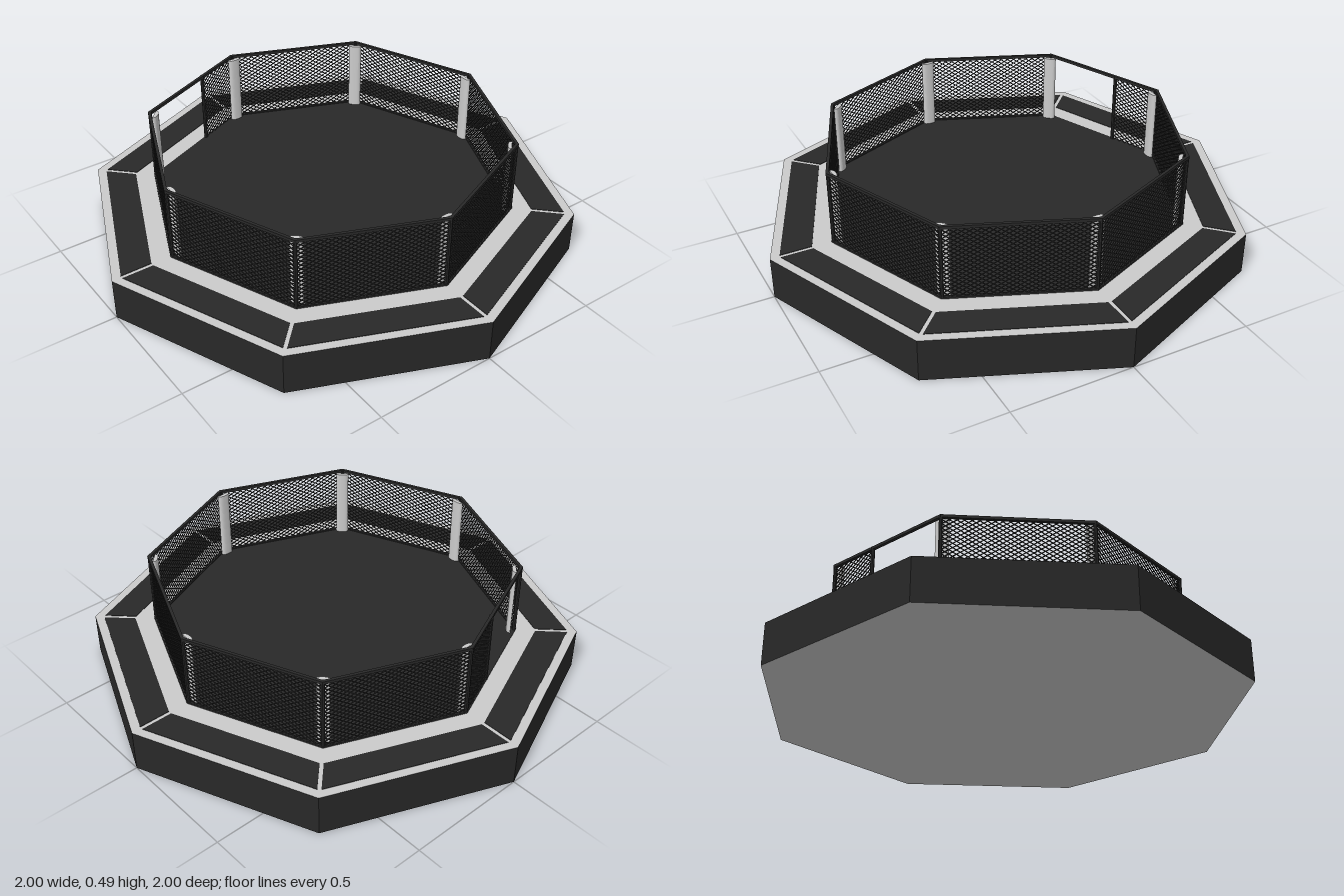
import * as THREE from 'three';
import { mergeGeometries } from 'three/addons/utils/BufferGeometryUtils.js';

const dark = new THREE.MeshStandardMaterial({ color: 0x282828, flatShading: true });
const grey = new THREE.MeshStandardMaterial({ color: 0xcccccc, flatShading: true });
const padGrey = new THREE.MeshStandardMaterial({ color: 0xcccccc });

const DECK = 0.175, TOP = 0.487, FENCE_R = 0.75;
const C = Math.cos(Math.PI / 8), S = Math.sin(Math.PI / 8);
const APOTHEM = (FENCE_R - 0.006) * C;
const HALF = (FENCE_R - 0.006) * S;
const GATE_SIDE = 6, GATE_X = -0.07;

function add(parent, name, geometry, material, x = 0, y = 0, z = 0) {
  const mesh = new THREE.Mesh(geometry, material);
  mesh.name = name;
  mesh.position.set(x, y, z);
  parent.add(mesh);
  return mesh;
}

// Crossed diagonal wires clipped to the rectangle x0..x1, y0..y1
function chainLink(x0, x1, y0, y1) {
  const cellW = 0.028, cellH = 0.018, slope = cellH / cellW, wire = 0.0032;
  const wires = [];
  const width = x1 - x0;
  for (const dir of [1, -1]) {
    for (let c = y0 - slope * width + cellH / 2; c < y1; c += cellH) {
      // t runs along the panel, y = c + slope * t
      const t0 = Math.max(0, (y0 - c) / slope);
      const t1 = Math.min(width, (y1 - c) / slope);
      if (t1 - t0 < 0.004) continue;
      const length = (t1 - t0) * Math.hypot(1, slope);
      const tm = (t0 + t1) / 2;
      const g = new THREE.BoxGeometry(length, wire, wire);
      g.rotateZ(dir * Math.atan(slope));
      g.translate(dir > 0 ? x0 + tm : x1 - tm, c + slope * tm, dir * 0.001);
      wires.push(g);
    }
  }
  return mergeGeometries(wires);
}

// Tapered walkway panel lying on the deck, with slim gaps at the corners
function walkwayPanel() {
  const gap = 0.008, ro = 0.962, ri = 0.832;
  const ho = ro * S - gap, hi = ri * S - gap;
  const shape = new THREE.Shape([
    new THREE.Vector2(-hi, -ri * C), new THREE.Vector2(-ho, -ro * C),
    new THREE.Vector2(ho, -ro * C), new THREE.Vector2(hi, -ri * C),
  ]);
  return new THREE.ExtrudeGeometry(shape, { depth: 0.002, bevelEnabled: false }).rotateX(-Math.PI / 2);
}

// Upright pad: flat back, rounded front facing the centre (-z)
function cornerPad() {
  const w = 0.027, d = 0.016;
  const shape = new THREE.Shape();
  shape.moveTo(-w, 0);
  shape.lineTo(w, 0);
  shape.bezierCurveTo(w, d * 0.8, w * 0.6, d, 0, d);
  shape.bezierCurveTo(-w * 0.6, d, -w, d * 0.8, -w, 0);
  return new THREE.ExtrudeGeometry(shape, { depth: TOP - DECK - 0.012, bevelEnabled: false, curveSegments: 8 })
    .rotateX(-Math.PI / 2);
}

export function createModel() {
  const model = new THREE.Group();
  model.name = 'octagonalCage';

  // Platform with dark walls and grey top and underside
  add(model, 'platform', new THREE.CylinderGeometry(1, 1, DECK, 8), [dark, grey, grey], 0, DECK / 2, 0);
  add(model, 'mat', new THREE.CylinderGeometry(FENCE_R, FENCE_R, 0.003, 8), dark, 0, DECK + 0.0015, 0);

  const panelGeo = walkwayPanel(), padGeo = cornerPad();
  const linkGeo = chainLink(-HALF, HALF, DECK, TOP - 0.006);
  const postGeo = new THREE.CylinderGeometry(0.008, 0.008, TOP - DECK, 8);
  const railGeo = new THREE.BoxGeometry(HALF * 2 + 0.006, 0.012, 0.012);
  const postY = (TOP + DECK) / 2;

  for (let i = 0; i < 8; i++) {
    // One side of the octagon, its outside facing local +z
    const side = new THREE.Group();
    side.name = 'side' + (i + 1);
    side.rotation.y = Math.PI / 8 + i * Math.PI / 4;
    model.add(side);
    add(side, 'walkwayPanel', panelGeo, dark, 0, DECK, 0);
    add(side, 'topRail', railGeo, dark, 0, TOP - 0.006, APOTHEM);
    if (i === GATE_SIDE) {
      // Entrance: wire mesh stops at the gate post
      add(side, 'wireMesh', chainLink(-HALF, GATE_X, DECK, TOP - 0.006), dark, 0, 0, APOTHEM);
      add(side, 'gatePost', postGeo, dark, GATE_X, postY, APOTHEM);
    } else {
      add(side, 'wireMesh', linkGeo, dark, 0, 0, APOTHEM);
      add(side, 'bottomRail', railGeo, dark, 0, DECK + 0.004, APOTHEM).scale.y = 0.6;
    }

    // Corner post with its inner pad
    const corner = new THREE.Group();
    corner.name = 'corner' + (i + 1);
    corner.rotation.y = i * Math.PI / 4;
    model.add(corner);
    add(corner, 'post', postGeo, dark, 0, postY, FENCE_R - 0.008);
    add(corner, 'pad', padGeo, padGrey, 0, DECK + 0.003, 0.725);
  }
  return model;
}
